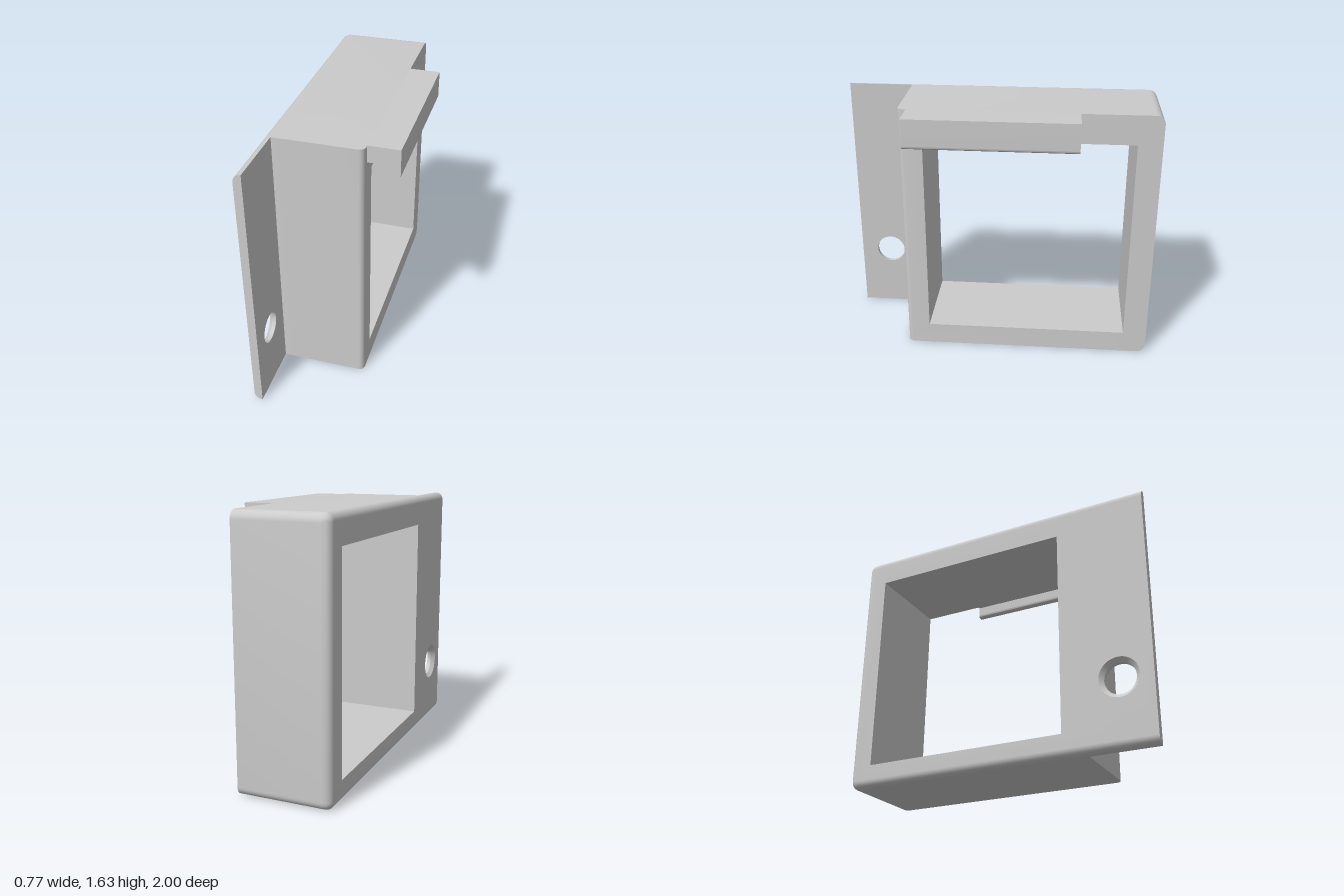
import * as THREE from 'three';
import { mergeGeometries, toCreasedNormals } from 'three/addons/utils/BufferGeometryUtils.js';

const H = 1.635, BACK = -0.39, STEP = -0.34, FRONT = 0.195;
const FILLET = 0.05, CORNER = 0.055, EDGE = 0.035;
const WALL = -0.585; // side wall of the frame, in u = -z
const WIN = { u0: -0.44, u1: 0.85, y0: 0.14, y1: 1.45 };
const SCREW = { u: -0.795, y: 0.42, r: 0.096, rOuter: 0.122 };

// Profile in (u, y): square at u0, rounded corners at u = 1, inset by d
function outline(u0, d) {
  const pts = [[u0, d]];
  const arc = (cy, a0) => {
    for (let i = 0; i <= 8; i++) {
      const a = a0 + (i / 8) * Math.PI / 2;
      pts.push([1 - CORNER + (CORNER - d) * Math.cos(a), cy + (CORNER - d) * Math.sin(a)]);
    }
  };
  arc(CORNER, -Math.PI / 2);
  arc(H - CORNER, 0);
  pts.push([u0, H - d]);
  return pts;
}

const rect = (u0, u1, y0, y1) => [[u0, y0], [u1, y0], [u1, y1], [u0, y1]];
const windowPts = () => rect(WIN.u0, WIN.u1, WIN.y0, WIN.y1);

// Skin between closed rings [{x, pts}], ordered by x
function loft(rings, inward = false) {
  const pos = [];
  const put = (ring, i) => pos.push(ring.x, ring.pts[i][1], -ring.pts[i][0]);
  for (let k = 0; k < rings.length - 1; k++) {
    const [a, b] = inward ? [rings[k + 1], rings[k]] : [rings[k], rings[k + 1]];
    const n = a.pts.length;
    for (let i = 0; i < n; i++) {
      const j = (i + 1) % n;
      put(a, i); put(a, j); put(b, j);
      put(a, i); put(b, j); put(b, i);
    }
  }
  const g = new THREE.BufferGeometry();
  g.setAttribute('position', new THREE.Float32BufferAttribute(pos, 3));
  return g;
}

// Flat face at a given x with holes
function cap(x, pts, holes, backFacing = false) {
  const vec = (list) => list.map(([u, y]) => new THREE.Vector2(u, y));
  const shape = new THREE.Shape(vec(pts));
  holes.forEach((h) => shape.holes.push(new THREE.Path(vec(h))));
  const g = new THREE.ShapeGeometry(shape);
  if (backFacing) g.index.array.reverse();
  g.rotateY(Math.PI / 2).translate(x, 0, 0);
  const flat = g.toNonIndexed();
  flat.deleteAttribute('uv');
  flat.deleteAttribute('normal');
  return flat;
}

function circle(r) {
  return Array.from({ length: 48 }, (_, i) => {
    const a = (i / 48) * Math.PI * 2;
    return [SCREW.u + r * Math.cos(a), SCREW.y + r * Math.sin(a)];
  });
}

export function createModel() {
  const group = new THREE.Group();
  const material = new THREE.MeshStandardMaterial({ color: 0xcccccc });
  const add = (name, parts) => {
    const geometry = toCreasedNormals(mergeGeometries(parts), 0.5);
    const mesh = new THREE.Mesh(geometry, material);
    mesh.name = name;
    group.add(mesh);
  };

  // Back plate with its rounded rim, running out into the screw flange
  const rim = [];
  for (let i = 0; i <= 8; i++) {
    const a = (i / 8) * Math.PI / 2;
    rim.push({ x: BACK + FILLET * (1 - Math.cos(a)), pts: outline(-1, FILLET * (1 - Math.sin(a))) });
  }
  add('backPlateAndFlange', [
    loft(rim),
    cap(BACK, outline(-1, FILLET), [windowPts(), circle(SCREW.rOuter)], true),
    cap(STEP, rect(-1, WALL, 0, H), [circle(SCREW.r)]),
  ]);

  // Countersunk screw hole
  add('screwHole', [loft([
    { x: BACK, pts: circle(SCREW.rOuter) },
    { x: BACK + 0.025, pts: circle(SCREW.r) },
    { x: STEP, pts: circle(SCREW.r) },
  ], true)]);

  // Deep frame with one rounded front edge
  const walls = [{ x: STEP, pts: outline(WALL, 0) }];
  for (let i = 0; i <= 8; i++) {
    const a = (i / 8) * Math.PI / 2;
    walls.push({ x: FRONT - EDGE * (1 - Math.sin(a)), pts: outline(WALL + EDGE * (1 - Math.cos(a)), 0) });
  }
  add('frame', [loft(walls), cap(FRONT, outline(WALL + EDGE, 0), [windowPts()])]);

  // Inner walls of the window
  add('windowWalls', [loft([{ x: BACK, pts: windowPts() }, { x: FRONT, pts: windowPts() }], true)]);

  // Hooked clip along the top edge
  const x0 = 0.335, x1 = 0.385, y0 = 1.45, r = 0.02;
  const hook = new THREE.Shape();
  hook.moveTo(FRONT, H);
  hook.lineTo(FRONT, 1.53);
  hook.lineTo(x0, 1.53);
  hook.lineTo(x0, y0 + r);
  hook.absarc(x0 + r, y0 + r, r, Math.PI, Math.PI * 1.5, false);
  hook.absarc(x1 - r, y0 + r, r, Math.PI * 1.5, Math.PI * 2, false);
  hook.lineTo(x1, H);
  hook.closePath();
  const clip = new THREE.ExtrudeGeometry(hook, { depth: 1.04, bevelEnabled: false, curveSegments: 8 });
  clip.translate(0, 0, -0.51);
  add('hookClip', [clip]);

  return group;
}
